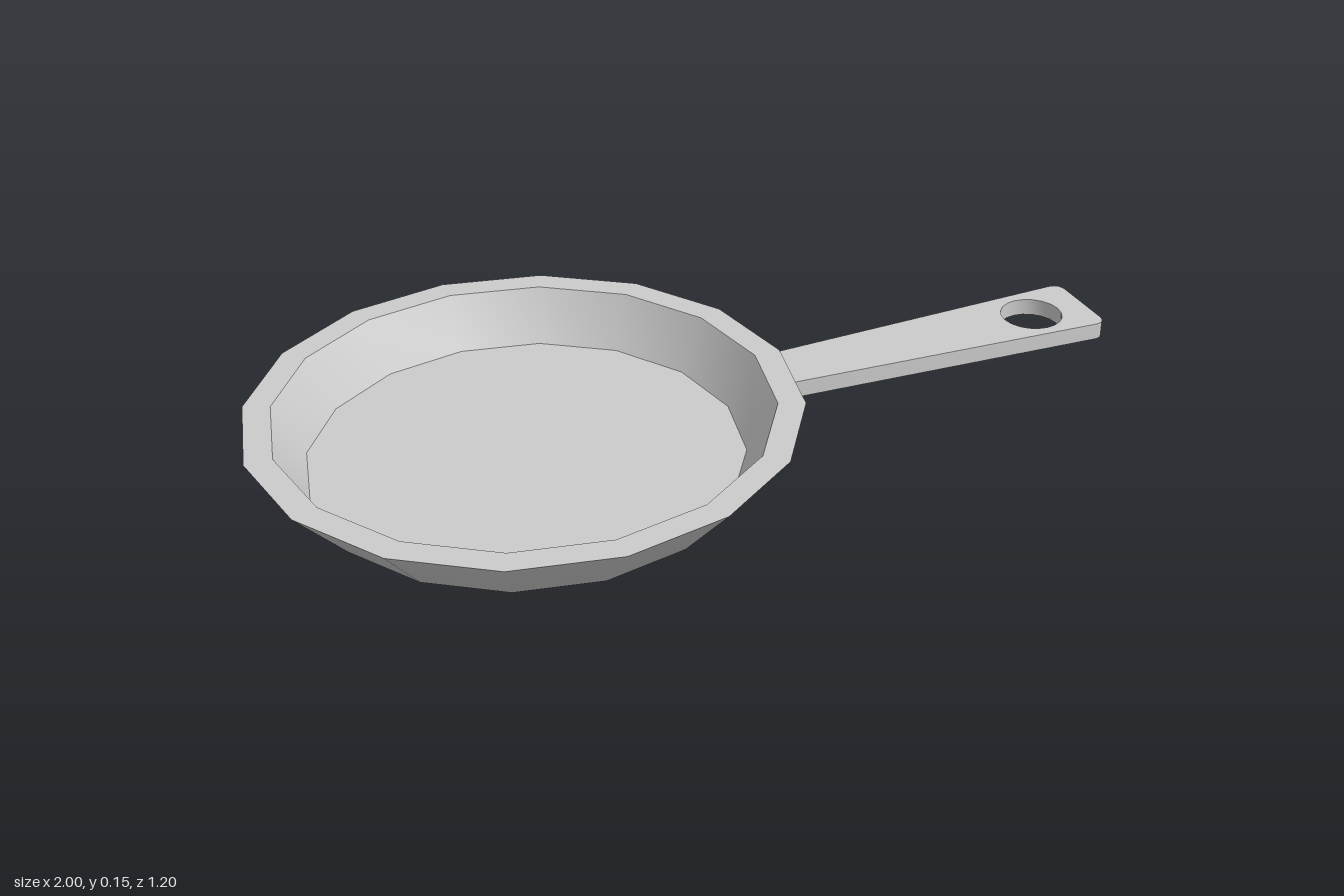
import * as THREE from 'three';
import { toCreasedNormals } from 'three/addons/utils/BufferGeometryUtils.js';

const material = new THREE.MeshStandardMaterial({ color: 0xcccccc });

function part(name, geometry, crease) {
  const mesh = new THREE.Mesh(toCreasedNormals(geometry, crease), material);
  mesh.name = name;
  return mesh;
}

export function createModel() {
  const model = new THREE.Group();
  model.name = 'fryingPan';

  // Sixteen-sided pan: underside, flared wall, flat rim, inner wall, floor
  const profile = [
    [0, 0], [0.46, 0], [0.48, 0.012], [0.6, 0.15],
    [0.54, 0.15], [0.475, 0.033], [0, 0.033],
  ].map(([r, y]) => new THREE.Vector2(r, y));
  const pan = part('pan', new THREE.LatheGeometry(profile, 16), 0.7);
  pan.position.x = -0.4;
  model.add(pan);

  // Handle outline, widening towards a rounded end; shape y becomes z
  const outline = new THREE.Shape();
  outline.moveTo(0.12, -0.064);
  outline.lineTo(0.97, -0.098);
  outline.quadraticCurveTo(0.995, -0.098, 0.997, -0.07);
  outline.lineTo(0.997, 0.08);
  outline.quadraticCurveTo(0.995, 0.108, 0.97, 0.108);
  outline.lineTo(0.12, 0.067);
  outline.closePath();

  // Hanging hole
  const hole = new THREE.Path();
  hole.absarc(0.856, 0.005, 0.072, 0, Math.PI * 2, true);
  outline.holes.push(hole);

  const handleGeometry = new THREE.ExtrudeGeometry(outline, {
    depth: 0.04, bevelEnabled: false, curveSegments: 10,
  });
  handleGeometry.rotateX(Math.PI / 2);
  const handle = part('handle', handleGeometry, 0.7);
  handle.position.y = 0.104;
  model.add(handle);

  return model;
}
